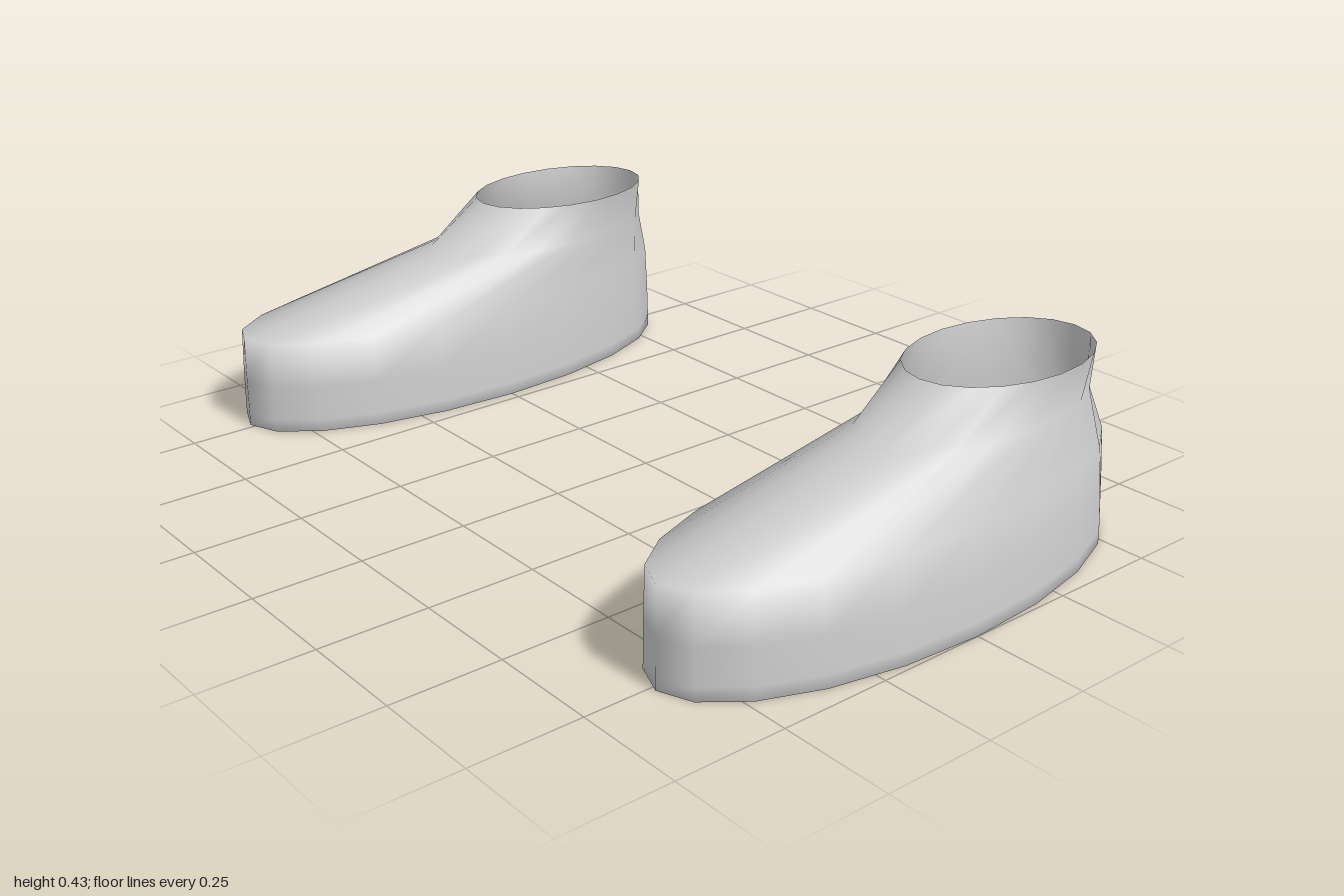
import * as THREE from 'three';

const SIDES = 20;

// Cross-section ellipses from sole to collar: [y, centre x, half width, centre z, half length]
const RINGS = [
  [0, 0.763, 0.222, 0, 0.58], // narrow lip turned in under the sole edge
  [0, 0.763, 0.237, 0, 0.597],
  [0.03, 0.763, 0.236, 0, 0.597],
  [0.11, 0.762, 0.229, 0.001, 0.596],
  [0.218, 0.76, 0.215, 0.003, 0.593], // top edge of the toe
  [0.325, 0.744, 0.151, -0.243, 0.313], // instep
  [0.426, 0.742, 0.157, -0.314, 0.235], // collar
];

// Open shell lofted through the ellipses
function shoeGeometry(side) {
  const positions = [];
  const index = [];
  RINGS.forEach(([y, cx, hw, cz, hl], r) => {
    for (let i = 0; i < SIDES; i++) {
      const a = (i / SIDES) * Math.PI * 2;
      positions.push(side * cx + hw * Math.sin(a), y, cz + hl * Math.cos(a));
      if (r === RINGS.length - 1) continue;
      const p = r * SIDES + i;
      const q = r * SIDES + ((i + 1) % SIDES);
      index.push(p, q, q + SIDES, p, q + SIDES, p + SIDES);
    }
  });
  const geometry = new THREE.BufferGeometry();
  geometry.setAttribute('position', new THREE.Float32BufferAttribute(positions, 3));
  geometry.setIndex(index);
  geometry.computeVertexNormals();
  return geometry;
}

export function createModel() {
  const group = new THREE.Group();
  group.name = 'shoes';
  const grey = new THREE.MeshStandardMaterial({ color: 0xcccccc, side: THREE.DoubleSide });
  grey.name = 'light grey';

  for (const side of [1, -1]) {
    const shoe = new THREE.Mesh(shoeGeometry(side), grey);
    shoe.name = side > 0 ? 'leftShoe' : 'rightShoe';
    group.add(shoe);
  }
  return group;
}
